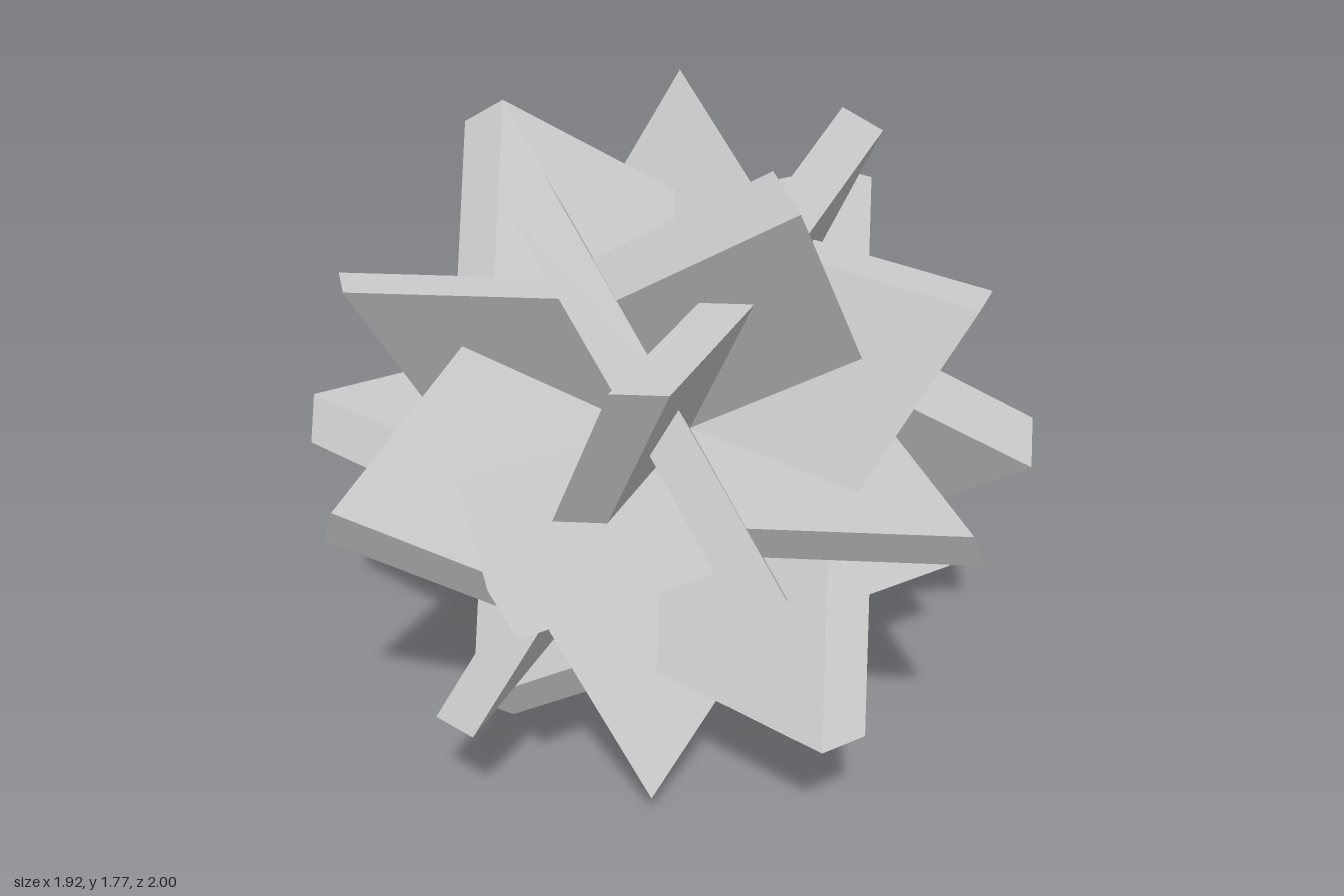
import * as THREE from 'three';

// Thirty skewed rhombic slabs, one on every edge direction of an icosahedron
export function createModel() {
  const model = new THREE.Group();
  model.name = 'interlockedSlabStar';
  const material = new THREE.MeshStandardMaterial({ color: 0xcccccc, flatShading: true });

  const t = 0.068;                                   // half of the short outer edge
  const golden = (1 + Math.sqrt(5)) / 2;
  const side = 1 / golden - t;                       // rhombus side
  const centreY = 0.8507 + 0.5257 * t;               // lowest corners rest on y = 0

  // Five-fold axes, with one of them vertical
  const axes = [new THREE.Vector3(0, 1, 0)];
  for (let k = 0; k < 5; k++) {
    const a = (k * 2 * Math.PI) / 5;
    axes.push(new THREE.Vector3(2 * Math.cos(a), 1, 2 * Math.sin(a)).normalize());
  }
  axes.push(...axes.map((v) => v.clone().negate()));

  // Slab with its tip at the outward direction u and its short edge along e
  const addSlab = (u, e) => {
    const w = new THREE.Vector3().crossVectors(u, e);
    const normal = e.clone().multiplyScalar(0.85065).addScaledVector(w, -0.52573);
    const across = new THREE.Vector3().crossVectors(normal, u);
    const arm = (s) => u.clone().multiplyScalar(-Math.cos(Math.PI / 5))
      .addScaledVector(across, s * Math.sin(Math.PI / 5)).multiplyScalar(side);
    const d1 = arm(1), d2 = arm(-1);
    const centre = u.clone().addScaledVector(d1, 0.5).addScaledVector(d2, 0.5);
    const skew = new THREE.Matrix4()
      .makeBasis(d1, d2, e.clone().multiplyScalar(2 * t))
      .setPosition(centre.x, centre.y + centreY, centre.z);
    const slab = new THREE.Mesh(new THREE.BoxGeometry(1, 1, 1).applyMatrix4(skew), material);
    slab.name = 'slab' + (model.children.length + 1);
    model.add(slab);
  };

  // One slab for every pair of neighbouring axes
  axes.forEach((p, i) => {
    axes.slice(i + 1).forEach((q) => {
      if (p.dot(q) > 0.4) addSlab(p.clone().add(q).normalize(), p.clone().sub(q).normalize());
    });
  });
  return model;
}
